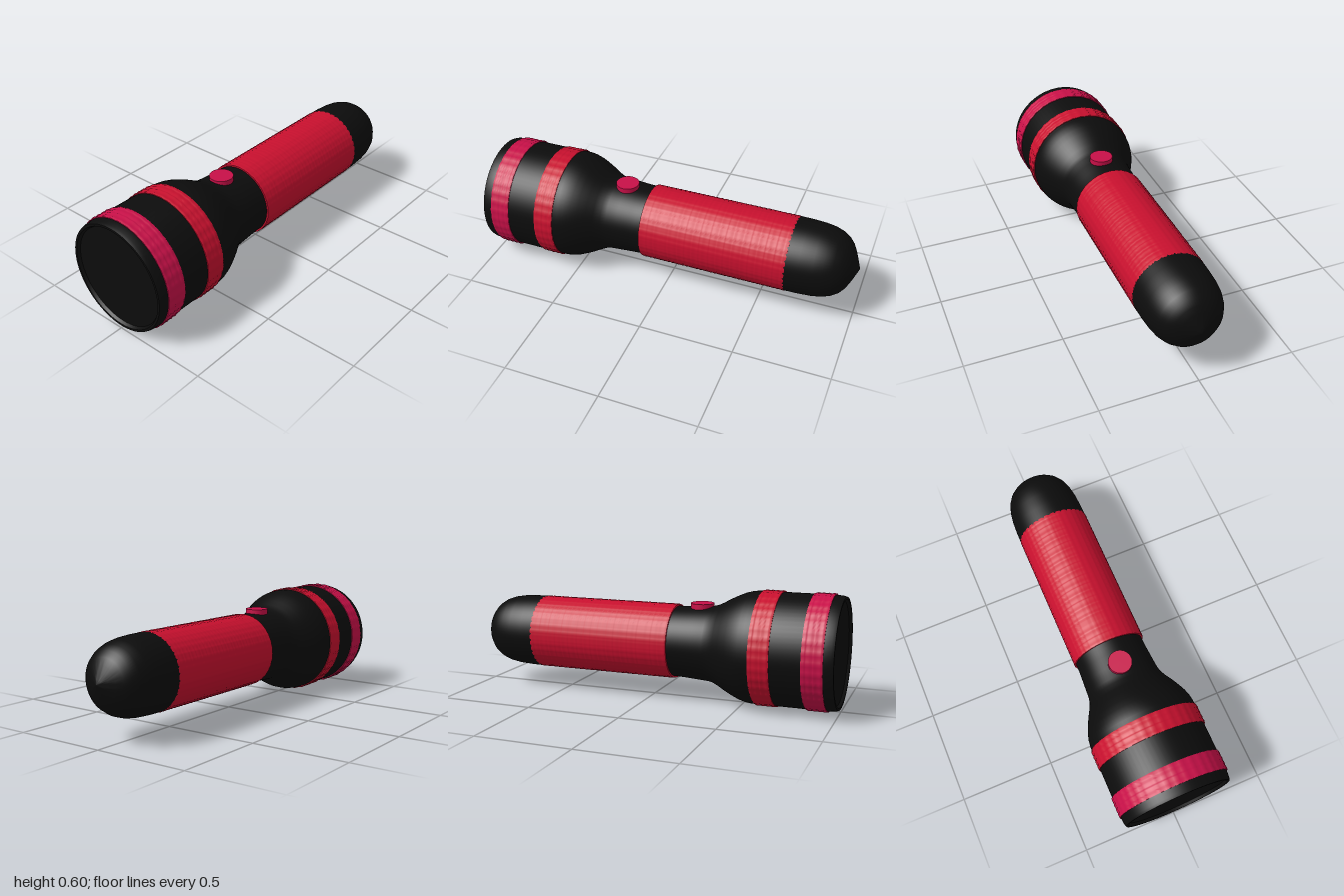
import * as THREE from 'three';
import { toCreasedNormals } from 'three/addons/utils/BufferGeometryUtils.js';

const AXIS_Y = 0.298;
const black = new THREE.MeshStandardMaterial({ color: 0x0c0c0c });
const red = new THREE.MeshStandardMaterial({ color: 0xc8102e });
const pink = new THREE.MeshStandardMaterial({ color: 0xc81048 });

// Lathe from [x, radius] pairs, laid along the x axis
function turned(name, profile, material, segments = 72) {
  const points = profile.map(([x, r]) => new THREE.Vector2(r, x));
  const geometry = new THREE.LatheGeometry(points, segments);
  geometry.rotateZ(-Math.PI / 2);
  const mesh = new THREE.Mesh(toCreasedNormals(geometry, 0.6), material);
  mesh.name = name;
  mesh.position.y = AXIS_Y;
  return mesh;
}

// Band with knurled bumps: ridges along its length, lobes around it
function knurledBand(name, x0, x1, radius, ridges, lobes, depth, material) {
  const steps = ridges * 4;
  const profile = [[x0, radius - 0.02]];
  for (let i = 0; i <= steps; i++) profile.push([x0 + ((x1 - x0) * i) / steps, radius]);
  profile.push([x1, radius - 0.02]);
  const geometry = new THREE.LatheGeometry(profile.map(([x, r]) => new THREE.Vector2(r, x)), lobes * 4);
  geometry.rotateZ(-Math.PI / 2);
  const p = geometry.attributes.position;
  for (let i = 0; i < p.count; i++) {
    const x = p.getX(i), y = p.getY(i), z = p.getZ(i);
    const r = Math.hypot(y, z);
    if (r < radius - 0.01) continue;
    const along = Math.cos((2 * Math.PI * ridges * (x - x0)) / (x1 - x0));
    const around = Math.cos(lobes * Math.atan2(z, y));
    const k = (r - depth * (0.5 + 0.25 * along - 0.25 * around)) / r;
    p.setXYZ(i, x, y * k, z * k);
  }
  const mesh = new THREE.Mesh(toCreasedNormals(geometry, 0.6), material);
  mesh.name = name;
  mesh.position.y = AXIS_Y;
  return mesh;
}

export function createModel() {
  const group = new THREE.Group();
  group.name = 'flashlight';

  // Head, flared neck and switch section
  group.add(turned('head', [
    [-0.985, 0], [-0.985, 0.262], [-1, 0.27], [-1, 0.282], [-0.985, 0.287], [-0.95, 0.29],
    [-0.56, 0.29], [-0.53, 0.286], [-0.495, 0.276], [-0.46, 0.261], [-0.42, 0.241],
    [-0.385, 0.221], [-0.35, 0.204], [-0.32, 0.197], [-0.26, 0.193], [-0.2, 0.189],
    [-0.16, 0.187], [-0.12, 0.187],
  ], black));

  // Coloured bands and grip
  group.add(knurledBand('frontRing', -0.95, -0.845, 0.298, 4, 36, 0.006, pink));
  group.add(knurledBand('rearRing', -0.69, -0.585, 0.298, 4, 36, 0.006, red));
  group.add(knurledBand('grip', -0.13, 0.655, 0.198, 30, 36, 0.003, red));

  // Rounded tail cap, slightly pointed at the end
  group.add(turned('tailCap', [
    [0.64, 0.196], [0.72, 0.195], [0.79, 0.191], [0.84, 0.183], [0.885, 0.168],
    [0.92, 0.146], [0.945, 0.118], [0.963, 0.086], [0.978, 0.053], [0.99, 0.024], [1, 0],
  ], black));

  // Round push button on top
  const button = new THREE.Mesh(new THREE.CylinderGeometry(0.061, 0.061, 0.05, 40), pink);
  button.name = 'button';
  button.position.set(-0.265, 0.485, 0);
  group.add(button);

  return group;
}
